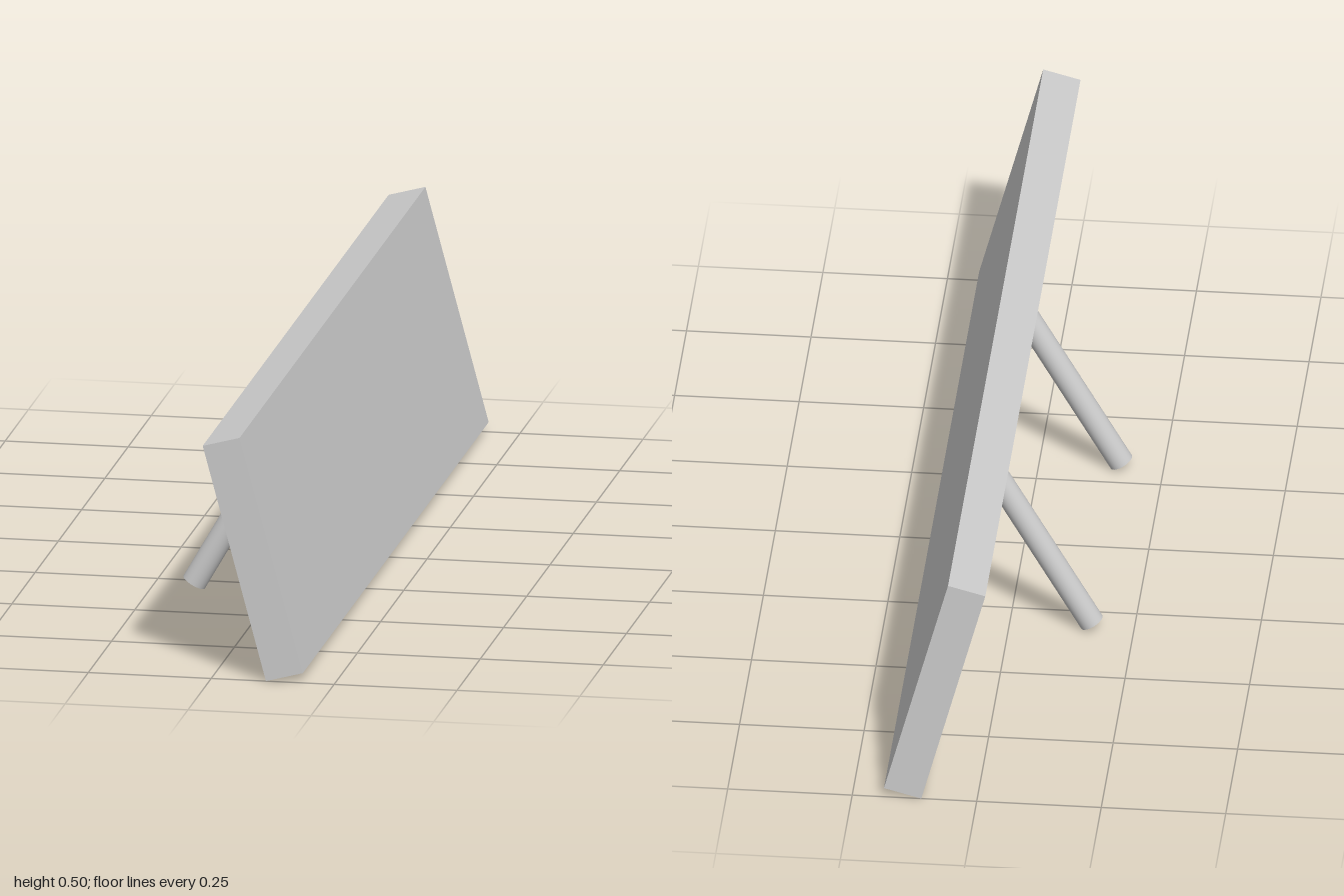
import * as THREE from 'three';

export function createModel() {
  const model = new THREE.Group();
  const material = new THREE.MeshStandardMaterial({ color: 0xcccccc });

  // Long board leaning back by 15 degrees
  const panel = new THREE.Mesh(new THREE.BoxGeometry(0.0776, 0.497, 2), material);
  panel.name = 'panel';
  panel.position.set(0.0845, 0.25, 0);
  panel.rotation.z = THREE.MathUtils.degToRad(15);
  model.add(panel);

  // Two round props, tilted 30 degrees, with their tops sunk into the board
  const length = 0.42, radius = 0.025;
  const legGeometry = new THREE.CylinderGeometry(radius, radius, length, 32);
  legGeometry.translate(0, length / 2, 0);
  for (const side of [-1, 1]) {
    const leg = new THREE.Mesh(legGeometry, material);
    leg.name = side > 0 ? 'frontLeg' : 'backLeg';
    leg.position.set(-0.165, 0.0125, side * 0.31);
    leg.rotation.z = THREE.MathUtils.degToRad(-30);
    model.add(leg);
  }
  return model;
}
